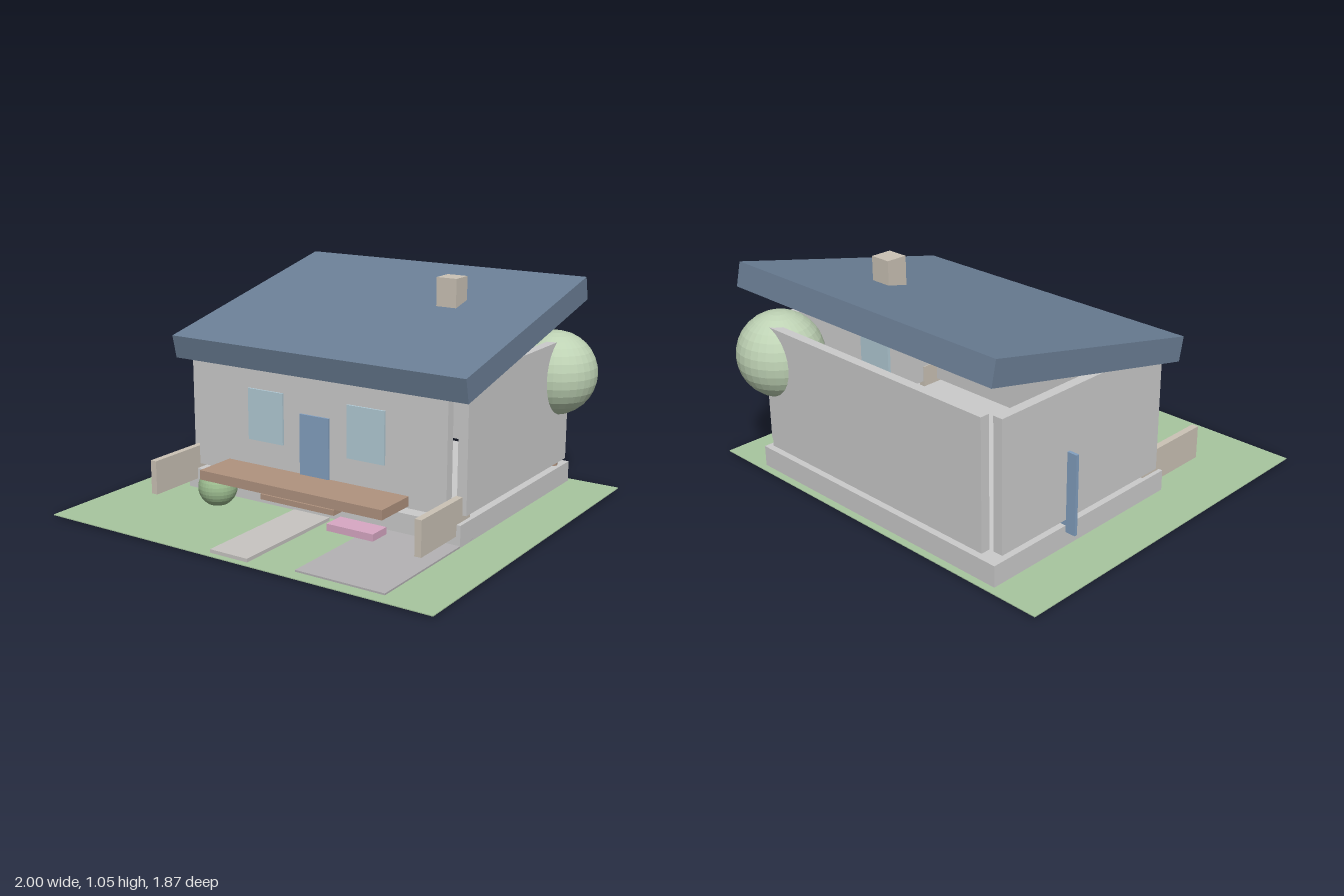
import * as THREE from 'three';

export function createModel() {
  const house = new THREE.Group();
  house.name = 'house';

  const paint = (color, flatShading = false) => new THREE.MeshStandardMaterial({ color, flatShading });
  const mat = {
    grey: paint(0xcccccc), wall: paint(0xdadbdd), lawn: paint(0xa8c69f), roof: paint(0x6b7f96),
    stone: paint(0xcbc3b6), wood: paint(0xb0937f), door: paint(0x83a0c0), glass: paint(0xb2cbd6),
    path: paint(0xc8c5c2), drive: paint(0xb5b3b5), pink: paint(0xd8a8c4),
    tree: paint(0xbed2b4, true), bush: paint(0x9dbd90, true),
  };

  const add = (name, geometry, material, x, y, z) => {
    const mesh = new THREE.Mesh(geometry, material);
    mesh.name = name;
    mesh.position.set(x, y, z);
    house.add(mesh);
    return mesh;
  };
  // Box given by its extents along each axis
  const block = (name, material, [x0, x1], [y0, y1], [z0, z1]) =>
    add(name, new THREE.BoxGeometry(x1 - x0, y1 - y0, z1 - z0), material,
      (x0 + x1) / 2, (y0 + y1) / 2, (z0 + z1) / 2);

  // Ground
  block('lawn', mat.lawn, [-1, 1], [0.008, 0.012], [-0.86, 0.935]);
  block('path', mat.path, [-0.1, 0.097], [0.007, 0.028], [0.305, 0.905]);
  block('driveway', mat.drive, [0.32, 0.75], [0.007, 0.02], [0.1, 0.875]);

  // Foundation and floating wall panels with open corners
  block('foundation', mat.grey, [-0.75, 0.75], [0.007, 0.112], [-0.825, 0.275]);
  const wallY = [0.14, 0.745];
  block('frontWall', mat.wall, [-0.68, 0.68], wallY, [0.23, 0.275]);
  block('backWall', mat.wall, [-0.68, 0.68], wallY, [-0.825, -0.78]);
  for (const [side, s] of [['left', 1], ['right', -1]]) {
    const sideWall = block(side + 'Wall', mat.wall, [0.703, 0.75], wallY, [-0.78, 0.225]);
    sideWall.position.x *= s;
    const gardenWall = block(side + 'GardenWall', mat.stone, [0.698, 0.73], [0.06, 0.222], [0.155, 0.568]);
    gardenWall.position.x *= s;
    const window = block(side + 'Window', mat.glass, [0.175, 0.372], [0.315, 0.56], [0.265, 0.285]);
    window.position.x *= s;
  }

  // Openings
  block('frontDoor', mat.door, [-0.08, 0.078], [0.075, 0.48], [0.265, 0.285]);
  block('sideDoor', mat.door, [-0.8, -0.7], [0.08, 0.46], [-0.393, -0.378]);
  block('innerWindow', mat.glass, [0.44, 0.635], [0.315, 0.56], [-0.31, -0.295]);

  // Sloping roof slab and chimney
  const roof = add('roof', new THREE.BoxGeometry(1.576, 0.114, 1.205), mat.roof, 0, 0.8415, -0.2765);
  roof.rotation.x = Math.atan2(0.262, 1.176);
  block('chimney', mat.stone, [0.265, 0.37], [0.85, 1.05], [-0.44, -0.335]);

  // Porch and flower bed
  block('porchDeck', mat.wood, [-0.498, 0.493], [0.15, 0.195], [0.265, 0.492]);
  block('porchStep', mat.wood, [-0.205, 0.198], [0.09, 0.115], [0.275, 0.42]);
  block('flowerBed', mat.pink, [0.17, 0.412], [0.02, 0.053], [0.325, 0.435]);

  // Planting
  add('treeTrunk', new THREE.CylinderGeometry(0.03, 0.03, 0.38, 12), mat.wood, 0.7, 0.25, -0.73);
  add('treeCrown', new THREE.SphereGeometry(0.204, 32, 16), mat.tree, 0.7, 0.575, -0.73);
  add('bush', new THREE.SphereGeometry(0.092, 32, 16), mat.bush, -0.478, 0.092, 0.39);

  return house;
}
